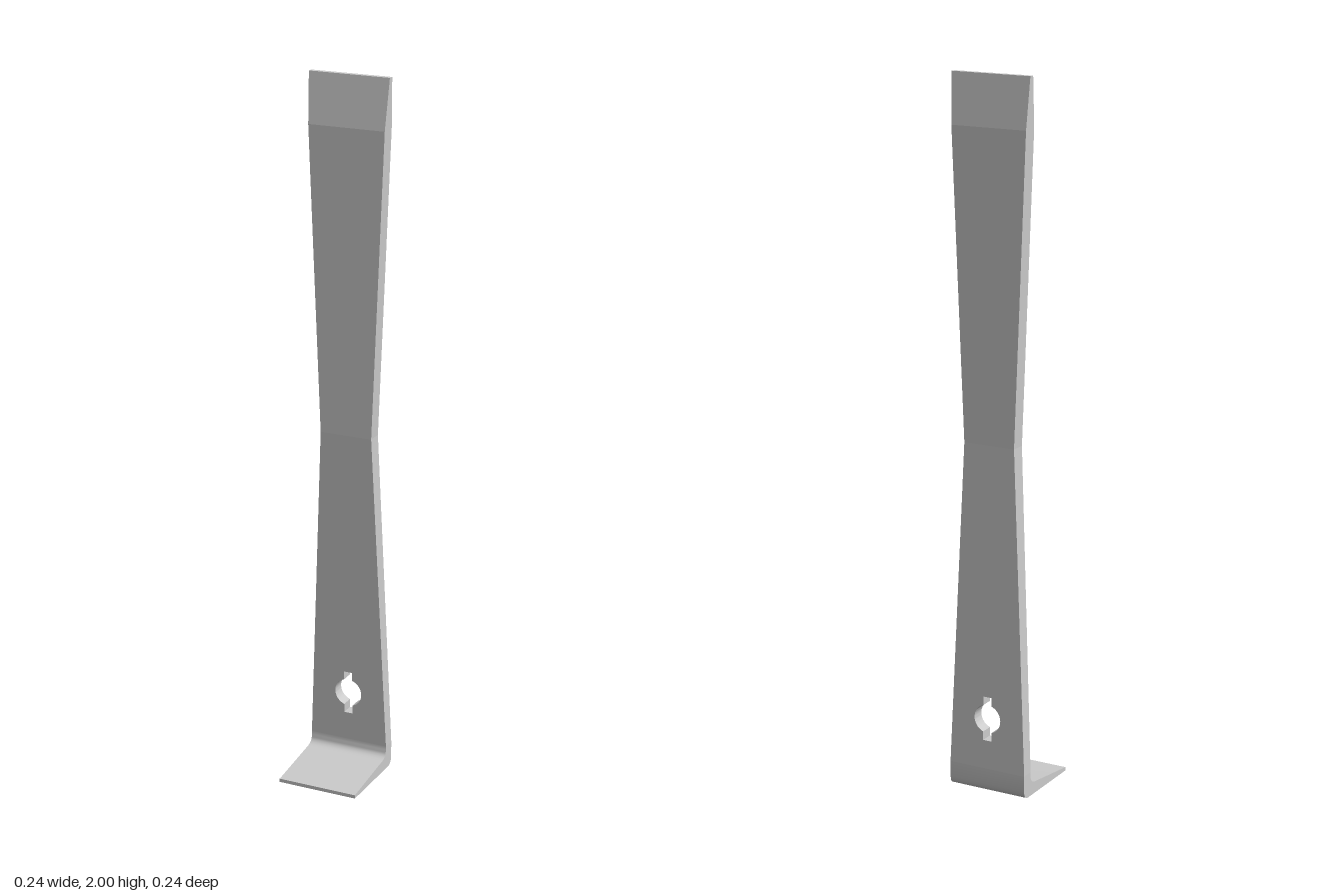
import * as THREE from 'three';
import { toCreasedNormals } from 'three/addons/utils/BufferGeometryUtils.js';

const material = new THREE.MeshStandardMaterial({ color: 0xcccccc });

// Stations up the bar: height, half width, back z, front z
const FOOT = { y: 0.07, w: 0.118, back: -0.122, front: -0.085 };
const WAIST = { y: 1.0, w: 0.077, back: -0.107, front: -0.063 };
const BEVEL = { y: 1.86, w: 0.112, back: -0.107, front: -0.063 };
const TIP = { y: 2.0, w: 0.118, back: -0.095, front: -0.08 };

function addMesh(group, name, geometry) {
  const mesh = new THREE.Mesh(toCreasedNormals(geometry, 0.6), material);
  mesh.name = name;
  group.add(mesh);
}

// Tapered plate between two stations, optionally pierced
function plate(a, b, hole) {
  const shape = new THREE.Shape([
    new THREE.Vector2(-a.w, a.y), new THREE.Vector2(a.w, a.y),
    new THREE.Vector2(b.w, b.y), new THREE.Vector2(-b.w, b.y),
  ]);
  if (hole) shape.holes.push(hole);
  const geometry = new THREE.ExtrudeGeometry(shape, { depth: 1, bevelEnabled: false, curveSegments: 10 });
  const p = geometry.attributes.position;
  for (let i = 0; i < p.count; i++) {
    const t = (p.getY(i) - a.y) / (b.y - a.y);
    const back = THREE.MathUtils.lerp(a.back, b.back, t);
    const front = THREE.MathUtils.lerp(a.front, b.front, t);
    p.setZ(i, THREE.MathUtils.lerp(back, front, p.getZ(i)));
  }
  geometry.computeVertexNormals();
  return geometry;
}

// Round nail hole with a notch above and below
function nailHole() {
  const y = 0.217, r = 0.041, s = 0.013, reach = 0.064;
  const a = Math.PI / 2 - Math.asin(s / r);
  const hole = new THREE.Path();
  hole.absarc(0, y, r, -a, a, false);
  hole.lineTo(s, y + reach);
  hole.lineTo(-s, y + reach);
  hole.absarc(0, y, r, Math.PI - a, Math.PI + a, false);
  hole.lineTo(-s, y - reach);
  hole.lineTo(s, y - reach);
  hole.closePath();
  return hole;
}

// Bent foot: side profile (z, y) extruded across the width
function foot() {
  const s = new THREE.Shape();
  s.moveTo(FOOT.back, FOOT.y);
  s.lineTo(-0.122, 0.025);
  s.quadraticCurveTo(-0.122, 0, -0.097, 0);
  s.lineTo(0.122, 0);
  s.lineTo(0.122, 0.01);
  s.lineTo(-0.06, 0.034);
  s.quadraticCurveTo(-0.085, 0.037, -0.085, 0.06);
  s.lineTo(FOOT.front, FOOT.y);
  s.closePath();
  const geometry = new THREE.ExtrudeGeometry(s, { depth: 2 * FOOT.w, bevelEnabled: false, curveSegments: 5 });
  geometry.rotateY(-Math.PI / 2);
  geometry.translate(FOOT.w, 0, 0);
  return geometry;
}

export function createModel() {
  const group = new THREE.Group();
  group.name = 'pryBar';
  addMesh(group, 'bentFoot', foot());
  addMesh(group, 'lowerShaft', plate(FOOT, WAIST, nailHole()));
  addMesh(group, 'upperShaft', plate(WAIST, BEVEL));
  addMesh(group, 'chiselTip', plate(BEVEL, TIP));
  return group;
}
